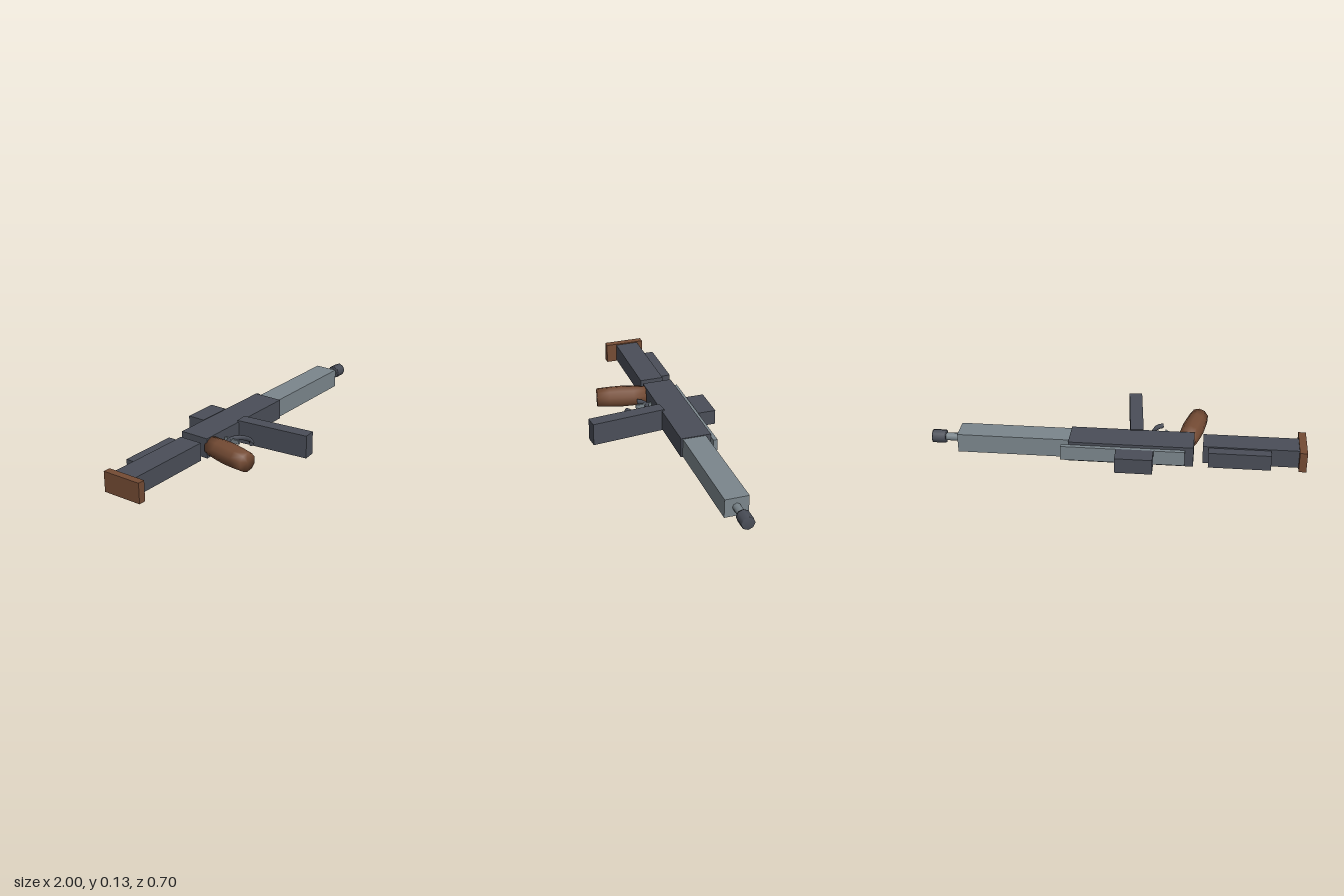
import * as THREE from 'three';

const MID_Y = 0.064;

export function createModel() {
  const model = new THREE.Group();
  model.name = 'toyBlaster';

  const material = (name, color) => {
    const m = new THREE.MeshStandardMaterial({ color });
    m.name = name;
    return m;
  };
  const darkMetal = material('dark metal', 0x4a4e58);
  const steel = material('steel', 0x7b868c);
  const wood = material('brown wood', 0x744b34);

  const add = (name, geometry, mat, x, y, z) => {
    const mesh = new THREE.Mesh(geometry, mat);
    mesh.name = name;
    mesh.position.set(x, y, z);
    model.add(mesh);
    return mesh;
  };
  // Box given by its x and z ranges and half its thickness
  const block = (name, mat, x0, x1, z0, z1, half) =>
    add(name, new THREE.BoxGeometry(x1 - x0, half * 2, z1 - z0), mat, (x0 + x1) / 2, MID_Y, (z0 + z1) / 2);
  const lathe = (profile, sides) =>
    new THREE.LatheGeometry(profile.map(([r, y]) => new THREE.Vector2(r, y)), sides);

  // Stock and body
  block('buttPad', wood, -1, -0.96, -0.225, 0, 0.056);
  block('stock', darkMetal, -0.96, -0.458, -0.192, -0.06, 0.05);
  block('cheekRest', darkMetal, -0.815, -0.488, -0.247, -0.192, 0.043);
  block('receiver', darkMetal, -0.41, 0.25, -0.225, -0.058, 0.056);
  block('handguard', steel, 0.25, 0.85, -0.197, -0.068, 0.052);

  // Rail and sight
  block('rail', steel, -0.365, 0.29, -0.248, -0.225, 0.04);
  block('sight', darkMetal, -0.202, -0.005, -0.348, -0.248, 0.042);

  // Slanted magazine
  const magazine = add('magazine', new THREE.BoxGeometry(0.071, 0.127, 0.418), darkMetal, -0.081, MID_Y, 0.139);
  magazine.rotation.y = 0.1;

  // Bulging round grip
  const gripShape = [[0, -0.14], [0.051, -0.14], [0.057, -0.07], [0.06, 0], [0.057, 0.07], [0.052, 0.14], [0, 0.14]];
  const grip = add('grip', lathe(gripShape, 10).rotateX(Math.PI / 2), wood, -0.398, 0.067, 0.077);
  grip.rotation.y = -0.2;

  // Open trigger guard with closed ends
  const start = -1.27, arc = 4.0, ring = 0.064, tube = 0.013;
  const guard = new THREE.Group();
  guard.name = 'triggerGuard';
  guard.position.set(-0.252, 0.066, 0.035);
  guard.rotation.x = -Math.PI / 2;
  const hoop = new THREE.Mesh(new THREE.TorusGeometry(ring, tube, 6, 10, arc).rotateZ(start), darkMetal);
  hoop.name = 'guardHoop';
  guard.add(hoop);
  for (const [angle, turn] of [[start, Math.PI / 2], [start + arc, -Math.PI / 2]]) {
    const cap = new THREE.Mesh(
      new THREE.CircleGeometry(tube, 6).rotateX(turn).translate(ring, 0, 0).rotateZ(angle), darkMetal);
    cap.name = 'guardEnd';
    guard.add(cap);
  }
  model.add(guard);
  add('trigger', new THREE.BoxGeometry(0.011, 0.02, 0.095), steel, -0.255, 0.066, -0.013);

  // Barrel and muzzle
  add('barrel', new THREE.CylinderGeometry(0.022, 0.022, 0.09, 8).rotateZ(-Math.PI / 2), steel, 0.89, MID_Y, -0.131);
  const muzzleShape = [[0, -0.037], [0.035, -0.037], [0.037, -0.03], [0.037, 0.03], [0.035, 0.037], [0, 0.037]];
  add('muzzle', lathe(muzzleShape, 8).rotateZ(-Math.PI / 2), darkMetal, 0.963, MID_Y, -0.131);

  return model;
}
